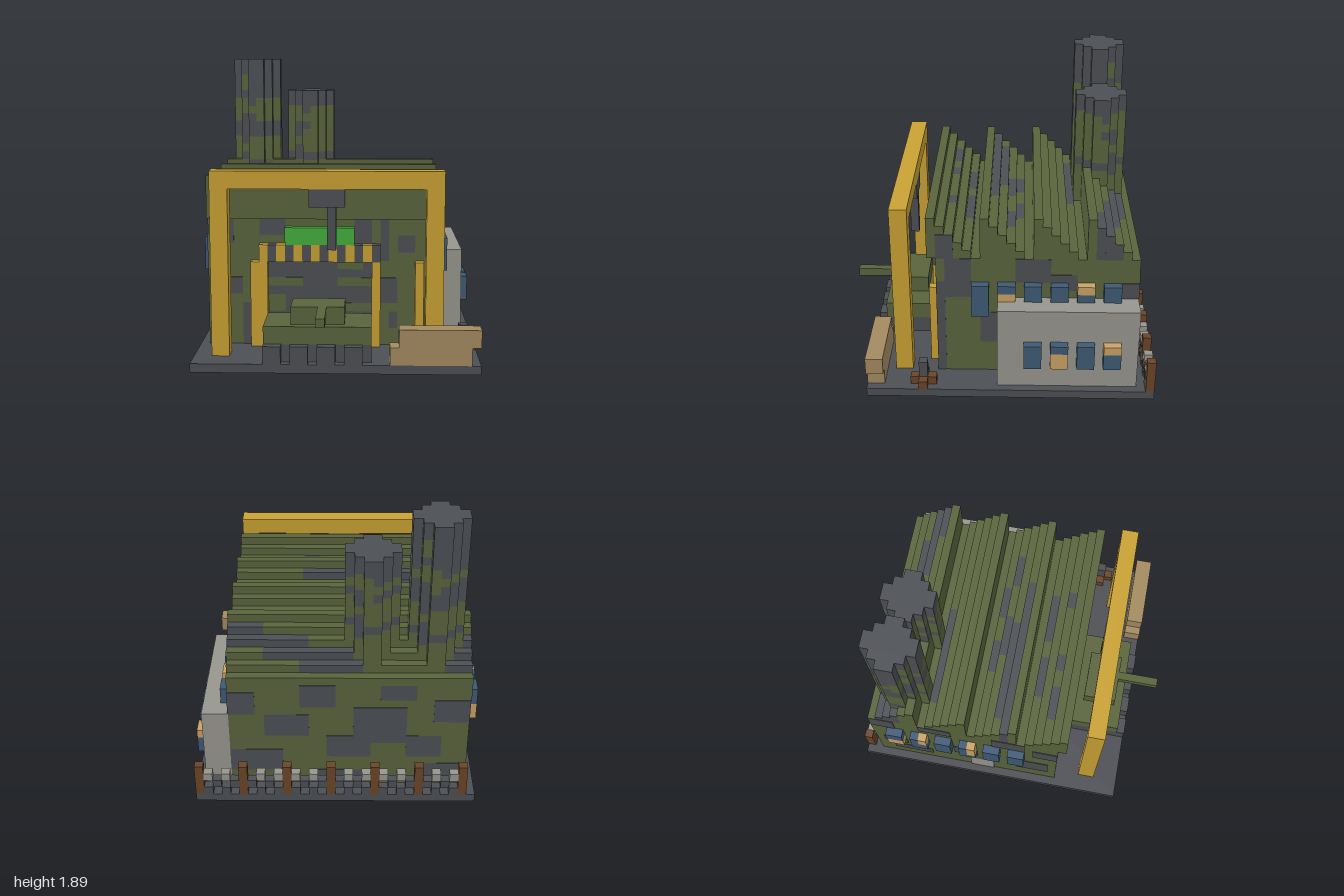
import * as THREE from 'three';

const colour = (name, hex) => {
  const m = new THREE.MeshStandardMaterial({ color: hex });
  m.name = name;
  return m;
};

export function createModel() {
  const olive = colour('olive', 0x59643c), dark = colour('darkGrey', 0x4c4f54);
  const yellow = colour('craneYellow', 0xc9a133), sand = colour('sand', 0xa38a60);
  const lit = colour('litWindow', 0xcaa265), blue = colour('windowBlue', 0x3f5a75);
  const grey = colour('concrete', 0x97968e), brown = colour('wood', 0x6b4528);
  const green = colour('signGreen', 0x43ad3b);

  const model = new THREE.Group();
  model.name = 'factory';
  model.scale.setScalar(1 / 18); // everything below is measured in cubes
  let parent = model;
  const part = (name) => {
    parent = new THREE.Group();
    parent.name = name;
    model.add(parent);
  };
  const box = (name, mat, x0, x1, y0, y1, z0, z1) => {
    const mesh = new THREE.Mesh(new THREE.BoxGeometry(x1 - x0, y1 - y0, z1 - z0), mat);
    mesh.position.set((x0 + x1) / 2, (y0 + y1) / 2, (z0 + z1) / 2);
    mesh.name = name;
    parent.add(mesh);
  };
  const T = 0.06; // thickness of painted plates

  box('base', dark, -16, 16, 0, 1, -18, 15);

  // Main hall
  part('hall');
  box('hallWalls', olive, -15, 12, 1, 16, -16, 7);

  // Sawtooth roof: one beam per row, cut into dark and olive lengths
  part('sawtoothRoof');
  const darkRoof = {
    '-15': [[-15, -12], [-3, 4]], '-14': [[-15, -13], [-2, 8]], '-13': [[-15, -14], [3, 12]],
    '-12': [[8, 12]], '-9': [[-12, 0]], '-4': [[-12, -7], [-5, 4]], '-3': [[-7, -3], [0, 4]],
    '-2': [[-5, 0], [4, 8]], '-1': [[-13, -1]], 0: [[-15, 4]], 3: [[-9, -4], [-2, 4]],
    5: [[-12, -8], [-6, -4], [2, 4]],
  };
  for (let z = -16; z < 8; z++) {
    const top = 21 - (7 - z) % 6;
    if (top === 16 && z < 7) continue;
    let x = -15;
    for (const [a, b] of darkRoof[z] || []) {
      if (a > x) box('roofBeam', olive, x, a, 16, top, z, z + 1);
      box('darkRoofBeam', dark, a, b, 16, top, z, z + 1);
      x = b;
    }
    if (x < 12) box('roofBeam', olive, x, 12, 16, top, z, z + 1);
  }

  // Camouflage patches on the walls: [from, to, bottom, top]
  part('camouflage');
  const right = [[6, 7, 1, 13], [1, 6, 11, 13], [5, 7, 16, 19], [3, 6, 13, 16], [0, 2, 5, 9],
    [-6, -2, 13, 16], [-9, -6, 12, 14], [-14, -12, 16, 18], [-16, -13, 11, 13]];
  for (const [a, b, c, d] of right) box('sidePatch', dark, 12, 12 + T, c, d, a, b);
  const left = [[-16, -13, 13, 16], [-10, -6, 14, 16], [-14, -9, 3, 5], [-6, -3, 6, 9],
    [-1, 3, 13, 16], [2, 6, 4, 8], [-15, -12, 6, 8], [4, 7, 11, 14]];
  for (const [a, b, c, d] of left) box('sidePatch', dark, -15 - T, -15, c, d, a, b);
  box('sideDoor', grey, -15 - 2 * T, -15, 1, 5, -4, -1);
  const back = [[-15, -11, 10, 13], [-12, -8, 5, 8], [-8, -2, 7, 12], [-4, 1, 5, 8], [0, 4, 12, 15],
    [3, 8, 8, 11], [6, 12, 3, 6], [9, 12, 11, 14], [-15, -10, 2, 4], [-9, -5, 13, 15], [-3, 3, 1, 3]];
  for (const [a, b, c, d] of back) box('backPatch', dark, a, b, c, d, -16 - T, -16);
  const front = [[-8, 4, 1, 11], [-14, -12, 13, 16], [-11, -10, 1, 6], [-13, -11, 7, 9], [-9, -6, 14, 16],
    [2, 4, 13, 16], [5, 6, 11, 16], [7, 9, 12, 14], [5, 7, 6, 9], [6, 7, 3, 5]];
  for (const [a, b, c, d] of front) box('frontPatch', dark, a, b, c, d, 7, 7 + T);
  for (const [a, b, c, d] of [[-8, -4, 8, 9], [0, 4, 8, 9], [0, 3, 10, 11], [-8, -6, 5, 7], [1, 4, 5, 6]])
    box('doorPatch', olive, a, b, c, d, 7 + T, 7 + 2 * T);

  // Chimneys: columns stacked in colour bands
  part('chimneys');
  const chimney = (cx, cz, bands) => {
    [1, 2, 3, 3, 2, 1].forEach((r, i) => {
      for (let x = -r; x < r; x++) {
        let y = 16;
        bands.forEach(([top, mat], k) => {
          const shift = k < bands.length - 1 && (x + i + k * 2 + 9) % 5 < 2 ? 1 : 0;
          box('chimneyColumn', mat, cx + x, cx + x + 1, y, top - shift, cz + i - 3, cz + i - 2);
          y = top - shift;
        });
      }
    });
  };
  chimney(-11, -12, [[20, olive], [22, dark], [24, olive], [27, dark], [29, olive], [31, dark], [32, olive], [34, dark]]);
  chimney(-4, -12, [[21, olive], [23, dark], [25, olive], [26, dark], [28, olive], [30, dark]]);

  // Annex
  part('annex');
  box('annexBlock', grey, 12, 15, 1, 11, -16, 0);

  // Windows: a blue box with an optional lit section [z0, z1, y0, y1]
  part('windows');
  const windowBox = (x, z, y0, y1, l) => {
    if (!l) return box('window', blue, x, x + 1, y0, y1, z, z + 2);
    const [a, b, c, d] = l;
    for (let k = z; k < z + 2; k++) for (let y = y0; y < y1; y++) {
      const on = k >= a && k < b && y >= c && y < d;
      box(on ? 'litPane' : 'pane', on ? lit : blue, x, x + 1, y, y + 1, k, k + 1);
    }
  };
  const litRight = { '-2': [-2, 0, 10, 12], '-8': [-8, -6, 9, 11], '-11': [-11, -9, 12, 13] };
  const litLeft = { '-11': [-10, -9, 11, 13], '-5': [-4, -3, 10, 13], '-14': [-14, -12, 9, 11] };
  for (let z = -14; z <= 1; z += 3) {
    windowBox(12, z, 9, 13, litRight[z]);
    windowBox(-16, z, 9, 13, litLeft[z]);
  }
  const litAnnex = { '-8': [-8, -6, 4, 6], '-14': [-14, -12, 6, 7] };
  for (let z = -14; z <= -5; z += 3) windowBox(15, z, 4, 7, litAnnex[z]);

  // Door frame with striped lintel and sign
  part('doorFrame');
  box('doorPost', yellow, -10, -8, 1, 11, 7, 8);
  box('doorPost', yellow, 4, 5, 1, 11, 7, 8);
  box('doorPost', yellow, 9, 10, 1, 11, 7, 8);
  for (let x = -9; x < 5; x++) box('lintelStripe', x % 2 ? yellow : dark, x, x + 1, 11, 13, 7, 8);
  box('sign', green, -6, 2, 13, 15, 7, 8);

  // Gantry crane
  part('gantryCrane');
  box('craneBeam', yellow, -14, 12, 20, 22, 10, 12);
  box('craneLeg', yellow, -14, -12, 1, 20, 10, 12);
  box('craneLeg', yellow, 10, 12, 1, 20, 10, 12);
  box('trolley', dark, -3, 1, 18, 20, 10, 12);
  box('cable', dark, -1, 0, 13, 18, 10, 11);

  // Tank with a row of blocks before it
  part('tank');
  box('tracks', dark, -8, 4, 1, 3, 8, 14);
  box('hull', olive, -8, 4, 3, 5, 8, 14);
  box('turret', olive, -5, 1, 5, 7, 9, 13);
  box('gun', olive, -2, -1, 6, 7, 13, 18);
  for (let x = -8; x < 4; x += 3) box('block', dark, x, x + 2, 1, 3, 14, 15);

  // Staggered sandbag wall
  part('sandbags');
  box('lowerBags', sand, 6, 15, 1, 3, 13, 15);
  box('upperBags', sand, 7, 16, 3, 5, 13, 15);

  // Campfire
  part('campfire');
  box('log', brown, 13, 16, 1, 2, 8, 9);
  box('log', brown, 14, 15, 1, 2, 9, 10);
  box('log', brown, 14, 15, 1, 2, 7, 8);
  box('pot', dark, 14, 15, 2, 4, 8, 9);

  // Wire fence along the back
  part('fence');
  for (let x = -15; x < 16; x++) {
    if (x % 5 === 0) box('fencePost', brown, x, x + 1, 1, 5, -18, -17);
    else if (x % 2 === 0) {
      box('upperWire', grey, x, x + 1, 3, 4, -18, -17);
      box('lowerWire', dark, x, x + 1, 1, 2, -18, -17);
    } else box('wire', dark, x, x + 1, 2, 3, -18, -17);
  }
  return model;
}
